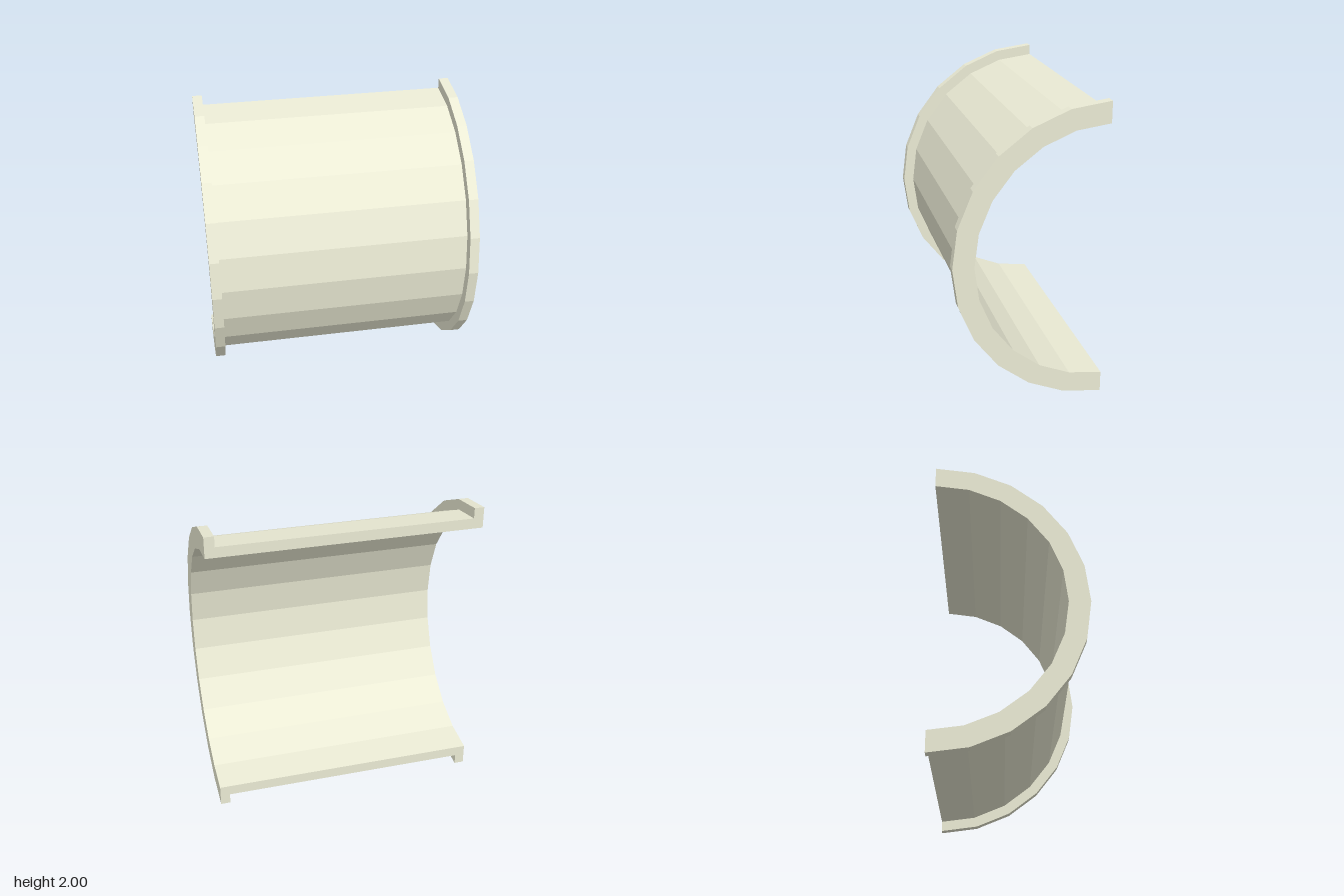
import * as THREE from 'three';

export function createModel() {
  const model = new THREE.Group();
  const material = new THREE.MeshStandardMaterial({ color: 0xeaead4, flatShading: true });

  const inner = 0.86, wall = 0.93, rim = 1;   // radii
  const end = 0.9, lip = 0.835;               // distances along the axis

  // Wall section with a raised flange at each end (radius, axis)
  const section = [
    [inner, -end], [rim, -end], [rim, -lip], [wall, -lip],
    [wall, lip], [rim, lip], [rim, end], [inner, end],
  ].map(([r, a]) => new THREE.Vector2(r, a));

  const halfPipe = new THREE.Group();
  halfPipe.name = 'flangedHalfPipe';

  // Half-turn shell in twelve flat facets
  const shellGeometry = new THREE.LatheGeometry(
    [...section, section[0].clone()], 12, -Math.PI / 2, Math.PI
  ).toNonIndexed();
  shellGeometry.computeVertexNormals();
  const shell = new THREE.Mesh(shellGeometry, material);
  shell.name = 'flangedShell';
  halfPipe.add(shell);

  // Flat cut faces along the open back
  const cutGeometry = new THREE.ShapeGeometry(new THREE.Shape(section));
  const upperCut = new THREE.Mesh(cutGeometry, material);
  upperCut.name = 'upperCutFace';
  upperCut.rotation.x = Math.PI;
  const lowerCut = new THREE.Mesh(cutGeometry, material);
  lowerCut.name = 'lowerCutFace';
  lowerCut.rotation.y = Math.PI;
  halfPipe.add(upperCut, lowerCut);

  // Lay the axis along x, bulging to the front
  halfPipe.rotation.z = Math.PI / 2;
  halfPipe.position.set(0, 1, -0.5);
  model.add(halfPipe);
  return model;
}
